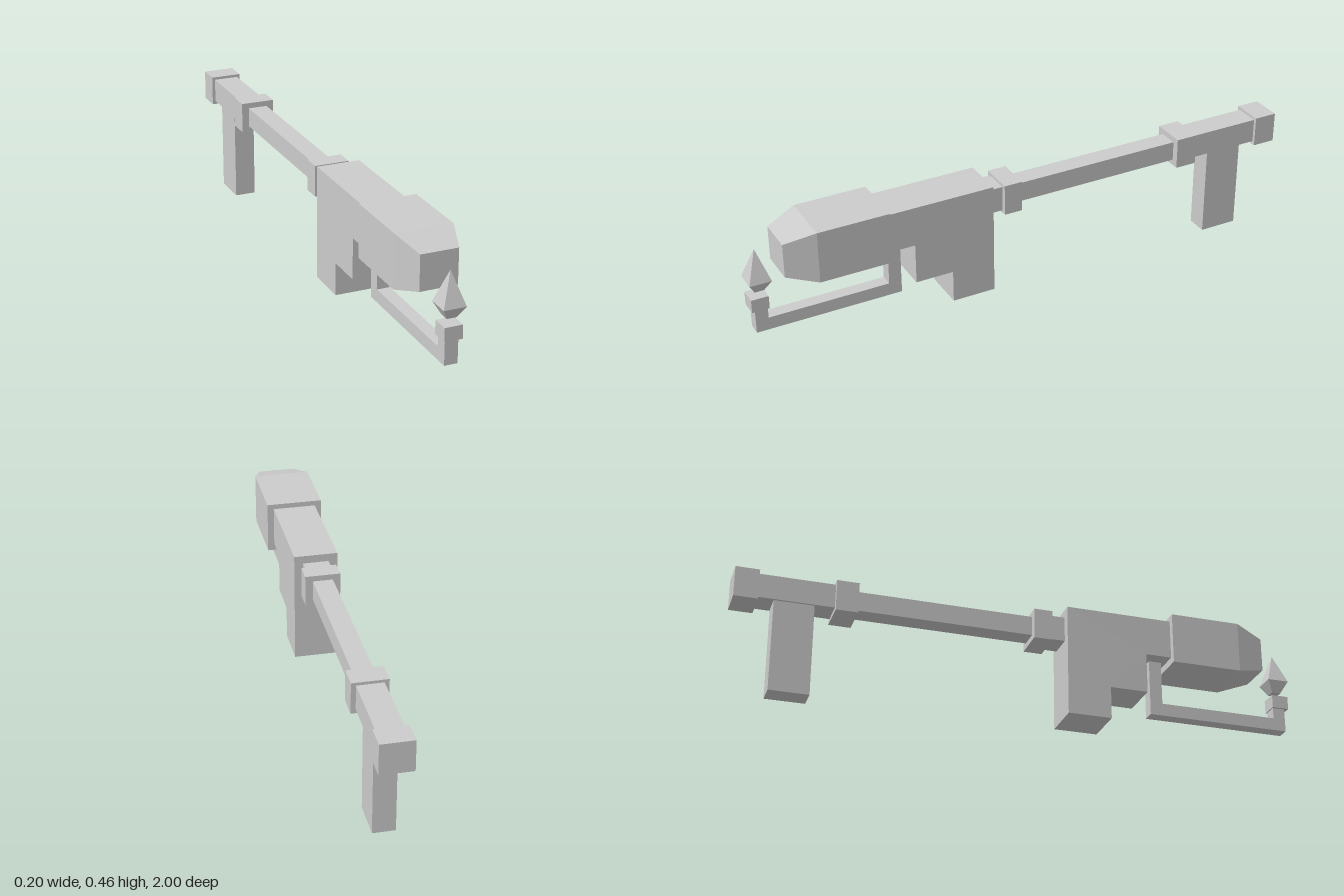
import * as THREE from 'three';

export function createModel() {
  const model = new THREE.Group();
  const material = new THREE.MeshStandardMaterial({ color: 0xcccccc, flatShading: true });

  function add(name, geometry) {
    const mesh = new THREE.Mesh(geometry, material);
    mesh.name = name;
    model.add(mesh);
    return mesh;
  }

  // Box given by its width and its y and z ranges
  function block(name, width, y0, y1, z0, z1, x = 0) {
    const geometry = new THREE.BoxGeometry(width, y1 - y0, z1 - z0);
    geometry.translate(x, (y0 + y1) / 2, (z0 + z1) / 2);
    return add(name, geometry);
  }

  // Side profile of [z, y] points, extruded across x
  function sideProfile(name, points, width, x = 0) {
    const shape = new THREE.Shape(points.map(([z, y]) => new THREE.Vector2(-z, y)));
    const geometry = new THREE.ExtrudeGeometry(shape, { depth: width, bevelEnabled: false });
    geometry.translate(0, 0, -width / 2);
    geometry.rotateY(Math.PI / 2);
    geometry.translate(x, 0, 0);
    return add(name, geometry);
  }

  // Square frustum standing along y, sides parallel to the axes
  function squareFrustum(name, topHalf, bottomHalf, y0, y1, x, z) {
    const r = Math.SQRT2;
    const geometry = new THREE.CylinderGeometry(topHalf * r, bottomHalf * r, y1 - y0, 4);
    geometry.rotateY(Math.PI / 4);
    geometry.translate(x, (y0 + y1) / 2, z);
    return add(name, geometry);
  }

  // Nozzle: straight housing and tapered muzzle
  block('nozzleHousing', 0.198, 0.272, 0.456, 0.533, 0.785);
  const muzzle = new THREE.BoxGeometry(0.198, 0.184, 0.105);
  const p = muzzle.attributes.position;
  for (let i = 0; i < p.count; i++) {
    if (p.getZ(i) > 0) p.setXY(i, p.getX(i) * 0.65, p.getY(i) * 0.66);
  }
  muzzle.translate(0, 0.364, 0.8375);
  add('muzzle', muzzle);

  // Stepped body
  sideProfile('body', [
    [0.15, 0.037], [0.305, 0.037], [0.305, 0.153], [0.44, 0.153],
    [0.44, 0.297], [0.535, 0.297], [0.535, 0.438], [0.15, 0.438],
  ], 0.152);

  // Pilot pipe, its tip and flame
  sideProfile('pilotPipe', [
    [0.47, 0.095], [0.985, 0.095], [0.985, 0.182], [0.941, 0.182],
    [0.941, 0.14], [0.515, 0.14], [0.515, 0.3], [0.47, 0.3],
  ], 0.045, -0.002);
  block('pilotTip', 0.061, 0.18, 0.227, 0.937, 0.997, -0.002);
  squareFrustum('flameBase', 0.038, 0.016, 0.245, 0.285, -0.001, 0.962);
  squareFrustum('flameTop', 0, 0.038, 0.285, 0.395, -0.001, 0.962);

  // Tube with collars
  block('neck', 0.09, 0.32, 0.41, 0.1, 0.152);
  block('frontCollar', 0.122, 0.31, 0.42, 0.034, 0.1);
  block('tube', 0.07, 0.33, 0.4, -0.585, 0.036);
  block('rearCollar', 0.122, 0.31, 0.42, -0.66, -0.583);

  // Rear handle
  block('stock', 0.09, 0.324, 0.41, -0.92, -0.658);
  block('endCap', 0.112, 0.312, 0.42, -1, -0.918);
  block('grip', 0.076, 0, 0.326, -0.864, -0.727);

  return model;
}
